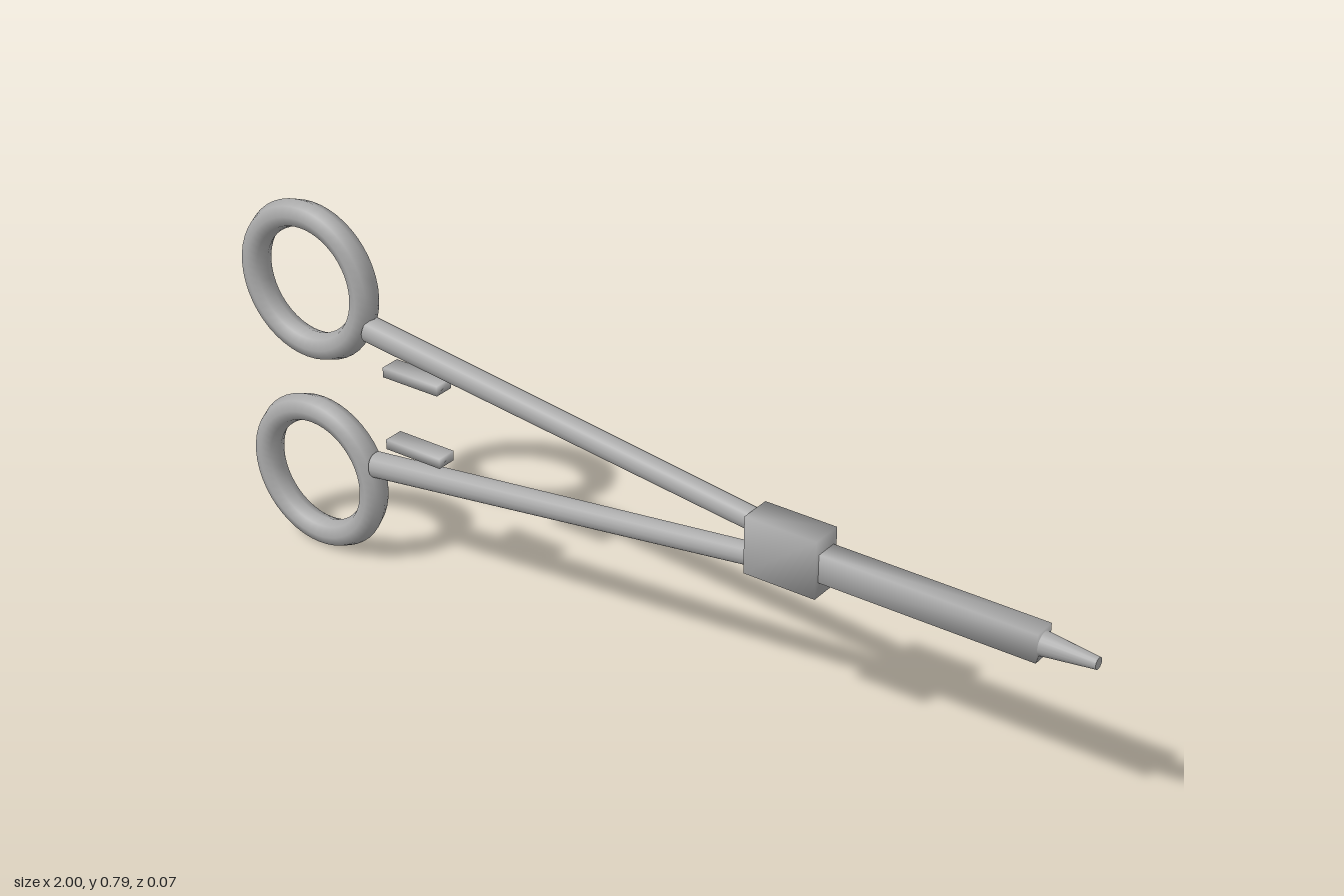
import * as THREE from 'three';
import { mergeVertices } from 'three/addons/utils/BufferGeometryUtils.js';

const MID = 0.397; // height of the axis of symmetry

export function createModel() {
  const model = new THREE.Group();
  model.name = 'forceps';
  const steel = new THREE.MeshStandardMaterial({ color: 0xaaaaaa });
  steel.name = 'steel grey';

  const add = (name, geometry, x, y) => {
    const mesh = new THREE.Mesh(geometry, steel);
    mesh.name = name;
    mesh.position.set(x, y, 0);
    model.add(mesh);
    return mesh;
  };

  // Block with normals blended softly across its edges
  const softBox = (w, h, d) => {
    let geometry = new THREE.BoxGeometry(w, h, d);
    geometry.deleteAttribute('normal');
    geometry.deleteAttribute('uv');
    geometry = mergeVertices(geometry);
    geometry.computeVertexNormals();
    return geometry;
  };

  // Upper and lower handles, mirrored about the axis
  for (const [side, s] of [['upper', 1], ['lower', -1]]) {
    add(side + 'FingerRing', new THREE.TorusGeometry(0.145, 0.03, 8, 48), -0.825, MID + s * 0.222);

    // Shank tapers from the ring to the box lock
    const start = new THREE.Vector3(-0.668, MID + s * 0.157, 0);
    const end = new THREE.Vector3(0.35, MID + s * 0.028, 0);
    const along = end.clone().sub(start);
    const shank = add(side + 'Shank', new THREE.CylinderGeometry(0.023, 0.028, along.length(), 16), 0, 0);
    shank.position.copy(start).add(end).multiplyScalar(0.5);
    shank.quaternion.setFromUnitVectors(new THREE.Vector3(0, 1, 0), along.normalize());

    add(side + 'Ratchet', softBox(0.14, 0.022, 0.045), -0.55, MID + s * 0.083);
  }

  // Box lock, closed jaws and tapered tip
  add('boxLock', softBox(0.16, 0.124, 0.07), 0.35, MID);
  add('jaws', softBox(0.49, 0.06, 0.05), 0.645, MID);
  const tip = add('tip', new THREE.CylinderGeometry(0.012, 0.025, 0.12, 20), 0.94, MID);
  tip.rotation.z = -Math.PI / 2;

  return model;
}
